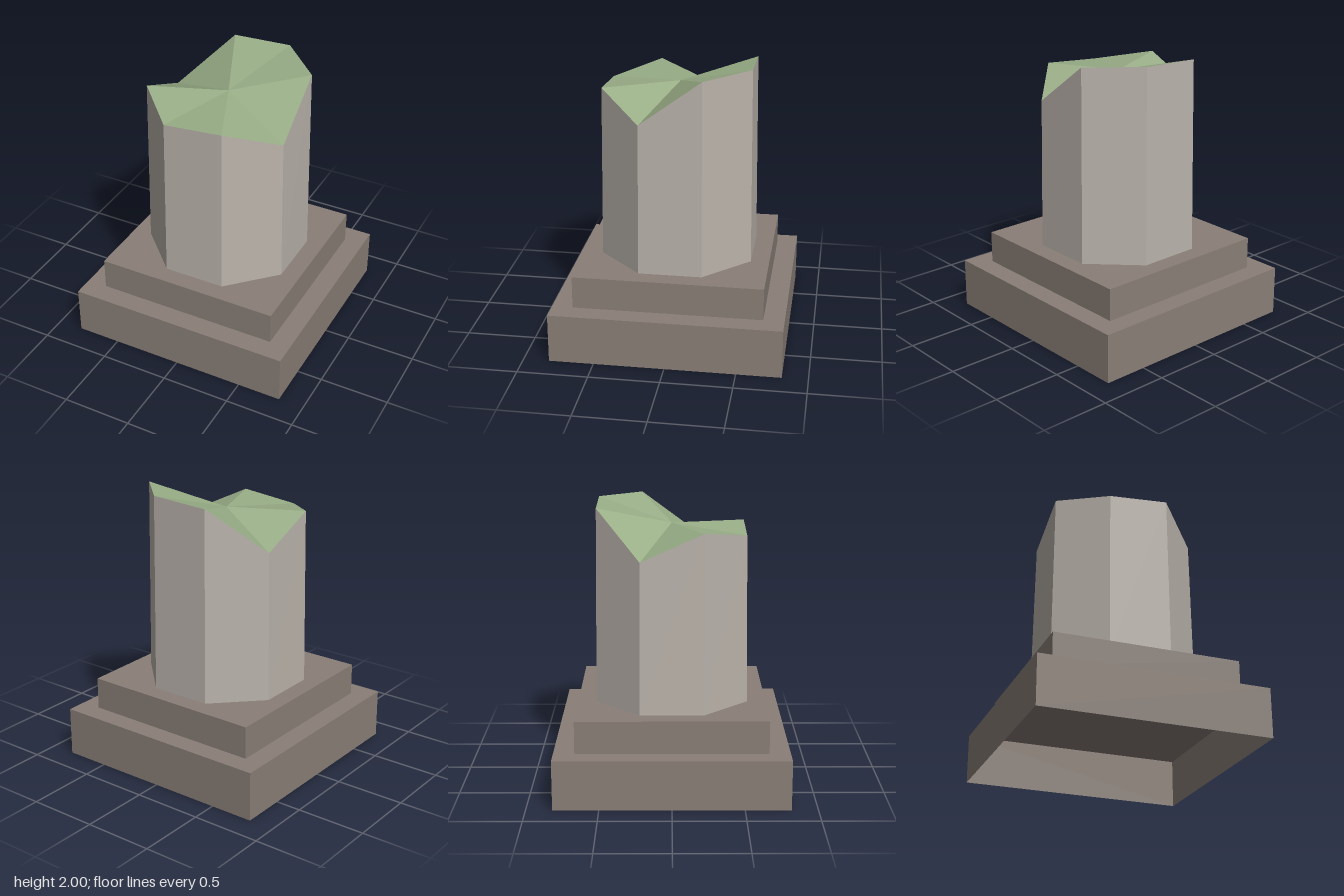
import * as THREE from 'three';

const plinthStone = new THREE.MeshStandardMaterial({ color: 0x8a7f77, side: THREE.DoubleSide });
plinthStone.name = 'plinth stone';
const columnStone = new THREE.MeshStandardMaterial({ color: 0xbab3ab, side: THREE.DoubleSide });
columnStone.name = 'column stone';
const moss = new THREE.MeshStandardMaterial({ color: 0x99ae87, side: THREE.DoubleSide });
moss.name = 'moss';

// Square plinth step, open underneath
function step(name, width, y0, y1) {
  const geo = new THREE.BoxGeometry(width, y1 - y0, width);
  const index = Array.from(geo.index.array);
  index.splice(18, 6); // drop the bottom face
  geo.clearGroups();
  geo.setIndex(index);
  const mesh = new THREE.Mesh(geo, plinthStone);
  mesh.position.y = (y0 + y1) / 2;
  mesh.name = name;
  return mesh;
}

// Flat-faced mesh from a list of corner points, three per triangle
function facets(name, points, material) {
  const geo = new THREE.BufferGeometry().setFromPoints(points);
  geo.computeVertexNormals();
  const mesh = new THREE.Mesh(geo, material);
  mesh.name = name;
  return mesh;
}

export function createModel() {
  const group = new THREE.Group();
  group.name = 'brokenColumn';

  group.add(step('lowerPlinth', 1.635, 0, 0.355));
  group.add(step('upperPlinth', 1.34, 0.355, 0.588));

  // Octagonal rings: level foot and jagged broken rim
  const rimHeights = [1.67, 1.83, 1.79, 1.855, 1.66, 1.98, 2.0, 1.99];
  const corner = (i, radius, y) => {
    const a = (i + 0.5) * Math.PI / 4;
    return new THREE.Vector3(Math.cos(a) * radius, y, Math.sin(a) * radius);
  };
  const foot = rimHeights.map((_, i) => corner(i, 0.583, 0.588));
  const rim = rimHeights.map((y, i) => corner(i, 0.566, y));
  const centre = new THREE.Vector3(0, 1.845, 0);

  const shaft = [], top = [];
  for (let i = 0; i < 8; i++) {
    const j = (i + 1) % 8;
    shaft.push(foot[i], rim[i], foot[j], rim[i], rim[j], foot[j]);
    top.push(centre, rim[j], rim[i]);
  }
  group.add(facets('columnShaft', shaft, columnStone));
  group.add(facets('mossyBreak', top, moss));

  return group;
}
